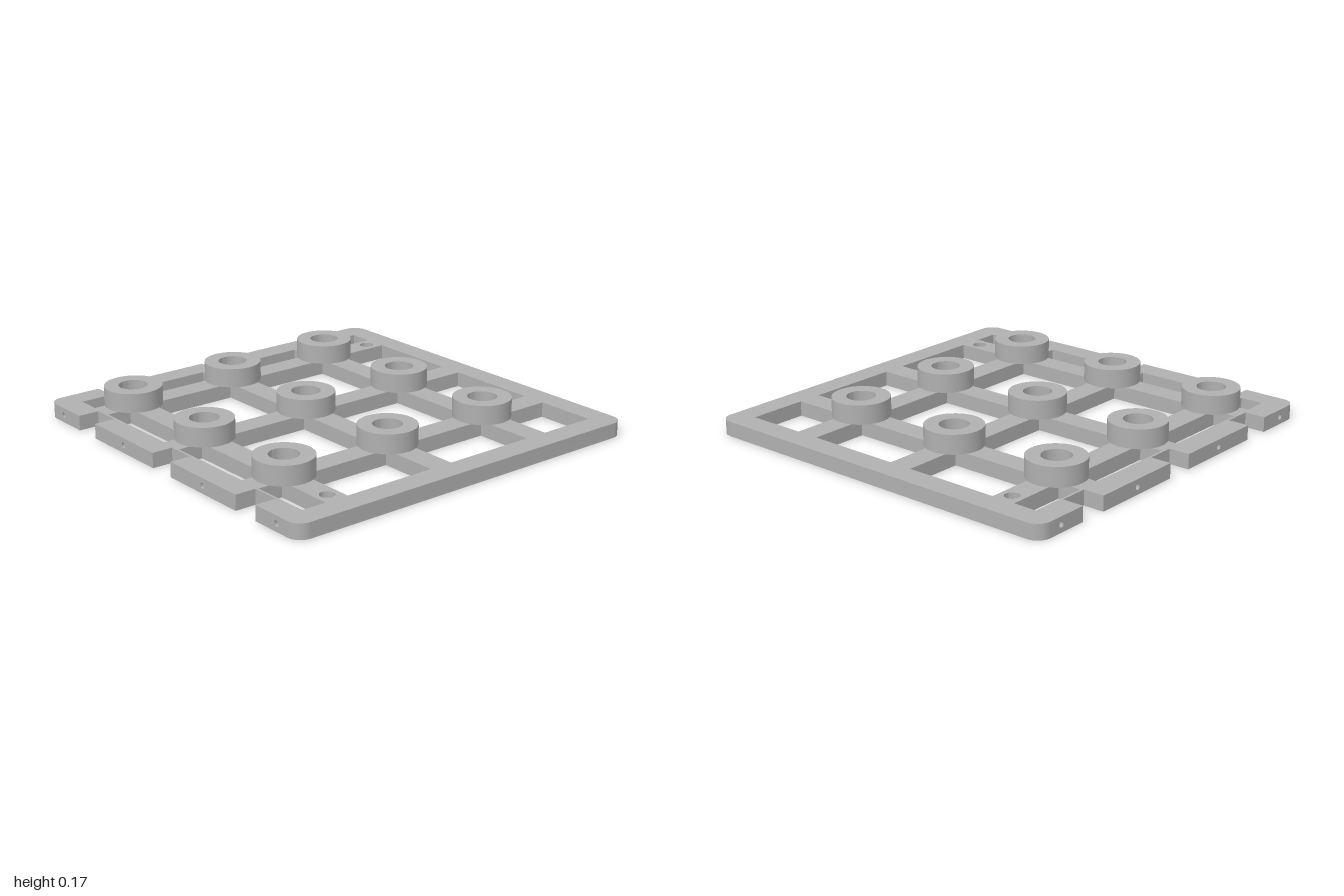
import * as THREE from 'three';
import { toCreasedNormals } from 'three/addons/utils/BufferGeometryUtils.js';

const THICK = 0.075, EDGE = 0.893, ROUND = 0.07;
const BOSS_X = [-0.7, -0.093, 0.514], BOSS_Z = [-0.519, 0.087, 0.693];
const RIB = 0.061, INNER = 0.88;

const material = new THREE.MeshStandardMaterial({ color: 0xb0b0b0 });
material.name = 'grey plastic';

function mesh(name, geometry) {
  const m = new THREE.Mesh(geometry, material);
  m.name = name;
  return m;
}

function extrude(shape, depth) {
  const g = new THREE.ExtrudeGeometry(shape, { depth, bevelEnabled: false, curveSegments: 24 });
  return toCreasedNormals(g, 0.6);
}

// Extrudes a plan outline (drawn in x, -z) upwards
const slab = (shape, height) => extrude(shape, height).rotateX(-Math.PI / 2);

function rectangle(x0, y0, x1, y1, Type = THREE.Shape) {
  const p = new Type();
  p.moveTo(x0, y0).lineTo(x1, y0).lineTo(x1, y1).lineTo(x0, y1).closePath();
  return p;
}

function circle(x, y, r, Type = THREE.Path) {
  const p = new Type();
  p.absarc(x, y, r, 0, Math.PI * 2, false);
  return p;
}

// Open spans between the ribs along one axis
function spans(centres) {
  const starts = [-INNER, ...centres.map((c) => c + RIB)];
  const ends = [...centres.map((c) => c - RIB), INNER];
  return starts.map((s, i) => [s, ends[i]]);
}

function latticePlate() {
  const shape = new THREE.Shape();
  shape.moveTo(-EDGE, -EDGE).lineTo(1, -EDGE).lineTo(1, 1 - ROUND);
  shape.absarc(1 - ROUND, 1 - ROUND, ROUND, 0, Math.PI / 2, false);
  shape.lineTo(-EDGE, 1).closePath();
  for (const [x0, x1] of spans(BOSS_X))
    for (const [z0, z1] of spans(BOSS_Z))
      shape.holes.push(rectangle(x0, -z1, x1, -z0, THREE.Path));
  for (const x of BOSS_X)
    for (const z of BOSS_Z) shape.holes.push(circle(x, -z, 0.064));
  // Two locating holes in the ribs
  shape.holes.push(circle(-0.7, 0.82, 0.036), circle(0.815, -0.693, 0.036));
  return slab(shape, THICK);
}

// Small rounded block that completes a plate corner
function cornerBlock(sx, sz) {
  const w = 1 - EDGE, s = new THREE.Shape();
  s.moveTo(0, 0).lineTo(w, 0).lineTo(w, w - ROUND);
  s.absarc(w - ROUND, w - ROUND, ROUND, 0, Math.PI / 2, false);
  s.lineTo(0, w).closePath();
  const turn = Math.atan2(-sz, sx) - Math.PI / 4;
  const m = mesh('roundedCorner', slab(s, THICK).rotateY(turn));
  m.position.set(sx * EDGE, 0, sz * EDGE);
  return m;
}

// Row of rim segments separated by notches, each with a small side hole
function notchedRim(name) {
  const rim = new THREE.Group();
  rim.name = name;
  const segments = [[-EDGE, -0.712, -0.857], [-0.568, -0.072, -0.32],
    [0.072, 0.568, 0.32], [0.712, EDGE, 0.857]];
  for (const [x0, x1, hole] of segments) {
    const s = rectangle(x0, 0, x1, THICK);
    s.holes.push(circle(hole, THICK / 2, 0.014));
    const m = mesh('rimSegment', extrude(s, 1 - EDGE));
    m.position.z = EDGE;
    rim.add(m);
  }
  return rim;
}

export function createModel() {
  const model = new THREE.Group();
  model.name = 'latticeTray';
  model.add(mesh('latticePlate', latticePlate()));

  // Notched front and right-hand-side rims
  const front = notchedRim('frontRim');
  const side = notchedRim('sideRim');
  side.rotation.y = -Math.PI / 2;
  model.add(front, side);
  for (const [sx, sz] of [[1, 1], [-1, 1], [-1, -1]]) model.add(cornerBlock(sx, sz));

  // Ring bosses on the rib crossings
  const ring = circle(0, 0, 0.144, THREE.Shape);
  ring.holes.push(circle(0, 0, 0.072));
  const bossGeometry = slab(ring, 0.172 - THICK);
  for (const x of BOSS_X)
    for (const z of BOSS_Z) {
      const boss = mesh('ringBoss', bossGeometry);
      boss.position.set(x, THICK, z);
      model.add(boss);
    }
  return model;
}
